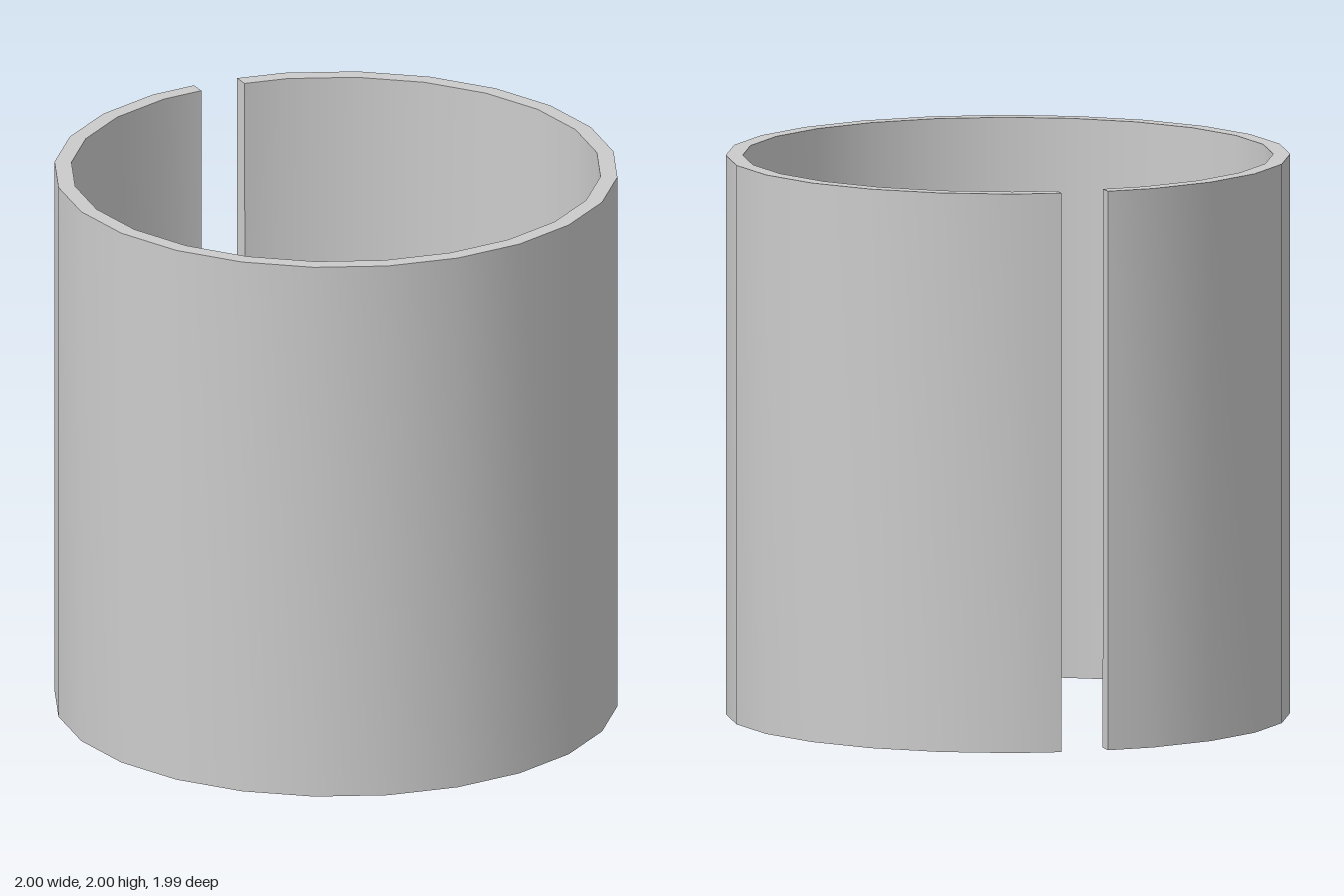
import * as THREE from 'three';

const SIDES = 24, HEIGHT = 2, OUTER = 1, INNER = 0.94, INNER_LOW = 0.93;
const GAP = 0.085;      // half width of the slot at the back
const SHIFT = -0.0056;  // keeps the slotted ring centred on z

// Open polygon ring from one slot edge to the other, passing the front (+z)
function ring(radius, y, turned) {
  const step = (2 * Math.PI) / SIDES;
  const count = turned ? SIDES : SIDES - 1;
  const points = [];
  for (let i = 0; i < count; i++) {
    const a = (i - (count - 1) / 2) * step;
    points.push(new THREE.Vector3(radius * Math.sin(a), y, radius * Math.cos(a) + SHIFT));
  }
  // Slot edges lie on the polygon side that crosses the back
  const last = points[count - 1];
  const z = turned ? last.z
    : THREE.MathUtils.lerp(-radius + SHIFT, last.z, GAP / last.x);
  points.unshift(new THREE.Vector3(-GAP, y, z));
  points.push(new THREE.Vector3(GAP, y, z));
  return points;
}

// Strip between rows a and b; b may hold one more point than a
function band(name, a, b, material, flip = false) {
  const index = [], n = a.length;
  const tri = (p, q, r) => index.push(...(flip ? [p, r, q] : [p, q, r]));
  for (let i = 0; i < n; i++) {
    if (i + 1 < b.length) tri(i, n + i, n + i + 1);
    if (i + 1 < n) tri(i, n + i + 1, i + 1);
  }
  const geometry = new THREE.BufferGeometry().setFromPoints([...a, ...b]);
  geometry.setIndex(index);
  geometry.computeVertexNormals();
  const mesh = new THREE.Mesh(geometry, material);
  mesh.name = name;
  return mesh;
}

export function createModel() {
  const group = new THREE.Group();
  group.name = 'slottedSleeve';
  const material = new THREE.MeshStandardMaterial({ color: 0xcccccc });

  const outerTop = ring(OUTER, HEIGHT, false);
  const outerBottom = ring(OUTER, 0, false);
  const innerTop = ring(INNER, HEIGHT, false);
  const innerBottom = ring(INNER_LOW, 0, true); // turned by half a side

  // Walls and rims
  group.add(
    band('outerWall', outerTop, outerBottom, material),
    band('innerWall', innerTop, innerBottom, material, true),
    band('topRim', innerTop, outerTop, material),
    band('bottomRim', outerBottom, innerBottom, material),
  );

  // Flat faces on both sides of the slot
  for (const [name, end, flip] of [['leftSlotFace', -1, false], ['rightSlotFace', 0, true]]) {
    group.add(band(name, [outerTop.at(end), innerTop.at(end)],
      [outerBottom.at(end), innerBottom.at(end)], material, flip));
  }
  return group;
}
